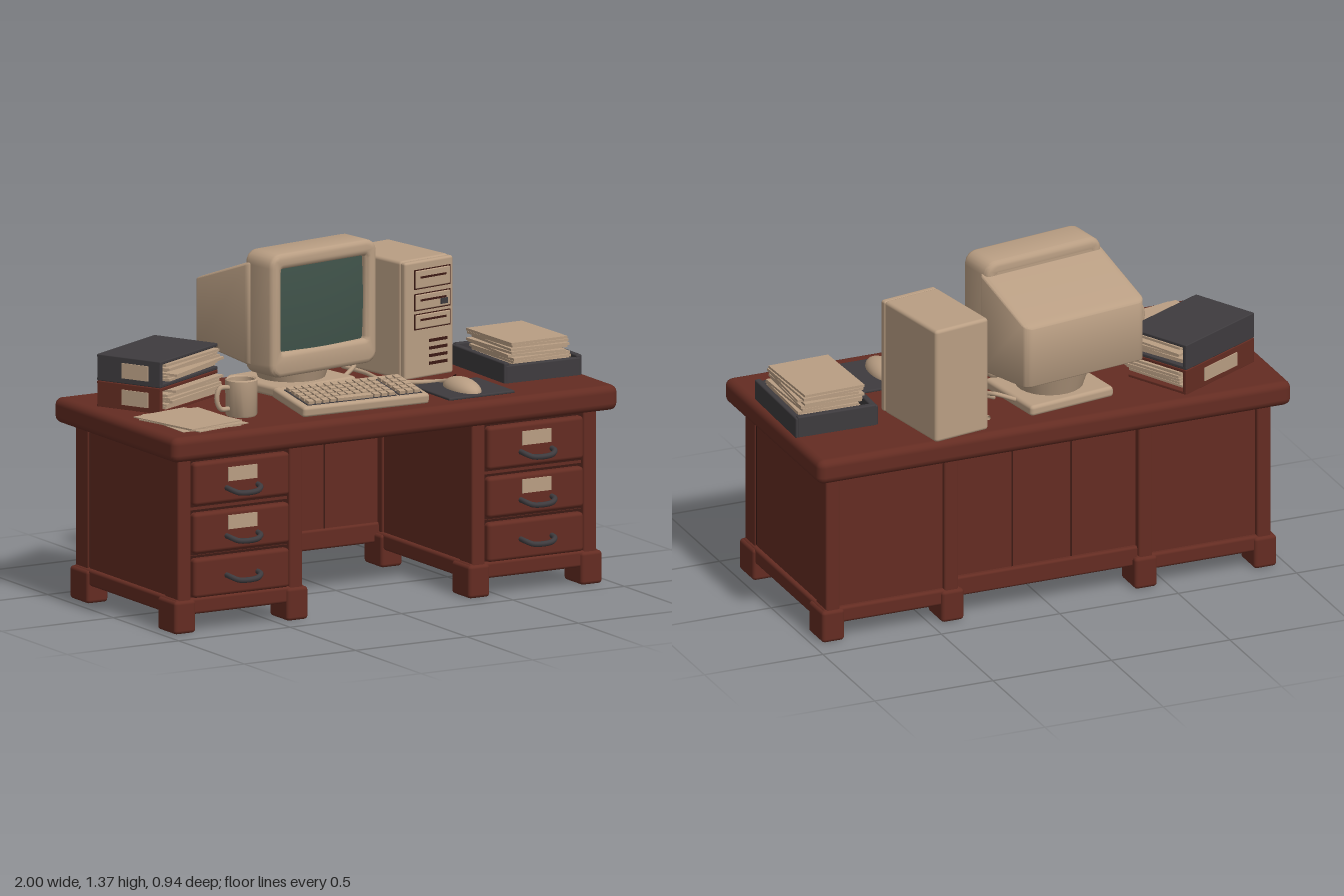
import * as THREE from 'three';
import { toCreasedNormals } from 'three/addons/utils/BufferGeometryUtils.js';
import { RoundedBoxGeometry } from 'three/addons/geometries/RoundedBoxGeometry.js';

const material = (name, color, side = THREE.FrontSide) => {
  const m = new THREE.MeshStandardMaterial({ color, side });
  m.name = name;
  return m;
};
const wood = material('red wood', 0x642c22);
const seam = material('dark wood seam', 0x3c1a14);
const cream = material('cream', 0xb99e83, THREE.DoubleSide);
const dark = material('charcoal', 0x3e3b3e);
const glass = material('screen green', 0x40534a);

let seed = 7;
const jitter = (a) => {
  seed = (seed * 16807) % 2147483647;
  return (seed / 2147483647 - 0.5) * 2 * a;
};

function mesh(parent, name, geo, mat, x = 0, y = 0, z = 0) {
  const m = new THREE.Mesh(geo, mat);
  m.name = name;
  m.position.set(x, y, z);
  parent.add(m);
  return m;
}
// Box given by its centre in x and z, and by its bottom in y
function box(parent, name, mat, w, h, d, x, y, z, r = 0) {
  const geo = r ? new RoundedBoxGeometry(w, h, d, 2, r) : new THREE.BoxGeometry(w, h, d);
  return mesh(parent, name, geo, mat, x, y + h / 2, z);
}
function group(parent, name, x, y, z, turn = 0) {
  const g = new THREE.Group();
  g.name = name;
  g.position.set(x, y, z);
  g.rotation.y = turn;
  parent.add(g);
  return g;
}
function tube(parent, name, mat, points, r, n = 24) {
  const curve = new THREE.CatmullRomCurve3(points.map((p) => new THREE.Vector3(...p)));
  return mesh(parent, name, new THREE.TubeGeometry(curve, n, r, 8), mat);
}
function paperStack(parent, w, d, x, y, z, count, thick, spread, turn) {
  for (let i = 0; i < count; i++) {
    const p = box(parent, 'paper', cream, w, thick * 0.8, d, x + jitter(spread), y + i * thick, z + jitter(spread));
    p.rotation.set(jitter(0.012), jitter(turn), jitter(0.012));
  }
}
function roundedRect(Type, w, h, r) {
  const s = new Type();
  const x = w / 2, y = h / 2;
  s.moveTo(-x + r, -y).lineTo(x - r, -y).quadraticCurveTo(x, -y, x, -y + r)
    .lineTo(x, y - r).quadraticCurveTo(x, y, x - r, y)
    .lineTo(-x + r, y).quadraticCurveTo(-x, y, -x, y - r)
    .lineTo(-x, -y + r).quadraticCurveTo(-x, -y, -x + r, -y);
  return s;
}

function buildDesk(root) {
  const desk = group(root, 'desk', 0, 0, 0);
  box(desk, 'deskTop', wood, 2, 0.1, 0.925, 0, 0.69, 0, 0.03);
  for (const s of [-1, 1]) {
    const ped = group(desk, 'pedestal', s * 0.66, 0, 0);
    box(ped, 'cabinet', wood, 0.545, 0.61, 0.75, 0, 0.09, 0);
    box(ped, 'plinth', wood, 0.58, 0.065, 0.79, 0, 0.07, 0, 0.012);
    // Corner posts and stepped feet
    for (const px of [-1, 1]) for (const pz of [-1, 1]) {
      box(ped, 'cornerPost', wood, 0.06, 0.58, 0.1, px * 0.25, 0.12, pz * 0.343, 0.008);
      box(ped, 'foot', wood, 0.095, 0.13, 0.14, px * 0.252, 0, pz * 0.335, 0.014);
    }
    for (const z of [-0.29, 0.29]) box(ped, 'sideSeam', seam, 0.004, 0.55, 0.006, s * 0.273, 0.14, z);
    // Drawers with handles and label plates
    [[0.5, 0.17, 0.055], [0.31, 0.16, 0.055], [0.135, 0.155, 0.075]].forEach(([y, h, hy], i) => {
      box(ped, 'drawerGap', seam, 0.45, h + 0.018, 0.006, 0, y - 0.009, 0.374);
      box(ped, 'drawer', wood, 0.43, h, 0.05, 0, y, 0.382, 0.015);
      const yh = y + hy;
      tube(ped, 'drawerHandle', dark, [[-0.07, yh + 0.005, 0.4], [-0.064, yh, 0.44], [-0.04, yh - 0.01, 0.455],
        [0.04, yh - 0.01, 0.455], [0.064, yh, 0.44], [0.07, yh + 0.005, 0.4]], 0.011);
      if (i < 2) box(ped, 'drawerLabel', cream, 0.13, 0.055, 0.006, 0, y + 0.085, 0.408);
    });
  }
  // Back panel closing the knee space
  box(desk, 'backPanel', wood, 0.8, 0.56, 0.03, 0, 0.14, -0.345);
  box(desk, 'backRail', wood, 0.78, 0.08, 0.06, 0, 0.09, -0.35, 0.01);
  for (const x of [-0.11, 0.14]) box(desk, 'backSeam', seam, 0.006, 0.52, 0.034, x, 0.17, -0.345);
}

function buildMonitor(root) {
  const mon = group(root, 'monitor', -0.08, 0, -0.055, 0.155);
  // Front frame with an opening for the screen
  const frame = roundedRect(THREE.Shape, 0.49, 0.45, 0.035);
  const hole = roundedRect(THREE.Path, 0.46, 0.37, 0.03);
  hole.curves.forEach((c) => ['v0', 'v1', 'v2'].forEach((k) => c[k] && (c[k].y += 0.018)));
  frame.holes.push(hole);
  const frameGeo = new THREE.ExtrudeGeometry(frame, {
    depth: 0.13, bevelThickness: 0.02, bevelSize: 0.02, bevelSegments: 3, curveSegments: 6,
  });
  mesh(mon, 'bezel', toCreasedNormals(frameGeo, 0.6), cream, 0, 1.125, -0.065);
  box(mon, 'bezelBack', cream, 0.5, 0.46, 0.08, 0, 0.895, -0.045, 0.02);
  // Bulging glass
  const g = new THREE.PlaneGeometry(0.46, 0.37, 12, 10);
  const p = g.attributes.position;
  for (let i = 0; i < p.count; i++) p.setZ(i, 0.03 - 0.35 * p.getX(i) ** 2 - 0.25 * p.getY(i) ** 2);
  g.computeVertexNormals();
  mesh(mon, 'screen', g, glass, 0, 1.143, 0.046);
  // Tapering rear housing
  const shell = new RoundedBoxGeometry(0.55, 1, 0.35, 4, 0.035);
  const q = shell.attributes.position;
  for (let i = 0; i < q.count; i++) {
    const t = (0.175 - q.getZ(i)) / 0.35;
    const bottom = 0.91 + 0.045 * t, top = 1.335 - 0.125 * t;
    q.setY(i, bottom + (q.getY(i) + 0.5) * (top - bottom));
  }
  mesh(mon, 'rearHousing', toCreasedNormals(shell, 0.7), cream, 0, 0, -0.21);
  // Swivel stand
  box(mon, 'standBase', cream, 0.38, 0.045, 0.34, 0, 0.785, -0.12, 0.015);
  mesh(mon, 'standNeck', new THREE.CylinderGeometry(0.16, 0.13, 0.09, 24), cream, 0, 0.87, -0.12);
}

function buildTower(root) {
  const t = group(root, 'computerTower', 0.415, 0.785, -0.245, 0.17);
  box(t, 'towerCase', cream, 0.245, 0.47, 0.365, 0, 0, -0.01, 0.014);
  box(t, 'towerFront', cream, 0.245, 0.465, 0.03, 0, 0.002, 0.182, 0.01);
  for (const [y, h] of [[0.36, 0.07], [0.275, 0.06], [0.2, 0.055]]) {
    box(t, 'bayGap', seam, 0.182, h + 0.008, 0.004, 0.015, y - 0.004, 0.197);
    box(t, 'driveBay', cream, 0.174, h, 0.01, 0.015, y, 0.198, 0.004);
    box(t, 'driveSlot', seam, 0.13, 0.008, 0.004, 0.015, y + h * 0.55, 0.203);
  }
  box(t, 'powerButton', dark, 0.035, 0.022, 0.008, 0.07, 0.285, 0.203);
  for (let i = 0; i < 4; i++) box(t, 'vent', seam, 0.09, 0.012, 0.004, 0.045, 0.05 + i * 0.03, 0.197);
}

function buildKeyboard(root) {
  const k = group(root, 'keyboard', -0.08, 0.825, 0.25, -0.02);
  k.rotation.x = 0.14;
  box(k, 'keyboardCase', cream, 0.56, 0.042, 0.255, 0, -0.021, 0, 0.012);
  // Key blocks: left edge, columns
  for (const [x0, cols] of [[-0.25, 12], [0.155, 3]]) {
    const w = cols * 0.0325;
    box(k, 'keyBed', dark, w + 0.006, 0.006, 0.19, x0 + w / 2, 0.017, 0.012);
    for (let r = 0; r < 5; r++) for (let c = 0; c < cols; c++) {
      const space = r === 4 && cols === 12;
      if (space && c > 3 && c < 9) continue;
      box(k, 'key', cream, 0.025, 0.016, 0.028, x0 + (c + 0.5) * 0.0325, 0.019, -0.064 + r * 0.038);
    }
  }
  box(k, 'spaceBar', cream, 0.155, 0.016, 0.028, -0.25 + 6.5 * 0.0325, 0.019, 0.088);
}

function buildMouse(root) {
  box(root, 'mousePad', dark, 0.295, 0.012, 0.29, 0.43, 0.788, 0.24, 0.005);
  const m = group(root, 'mouse', 0.42, 0.797, 0.25, -0.04);
  const body = mesh(m, 'mouseBody', new THREE.SphereGeometry(1, 20, 10, 0, Math.PI * 2, 0, Math.PI / 2), cream);
  body.scale.set(0.057, 0.047, 0.12);
  box(m, 'buttonGap', seam, 0.004, 0.004, 0.05, 0, 0.034, -0.075).rotation.x = -0.5;
  tube(root, 'mouseCord', cream, [[0.42, 0.81, 0.14], [0.4, 0.8, 0.09], [0.3, 0.797, 0.03], [0.24, 0.797, -0.08],
    [0.25, 0.797, -0.2], [0.23, 0.8, -0.34]], 0.009, 36);
  tube(root, 'monitorCable', cream, [[0.1, 0.84, -0.3], [0.18, 0.87, -0.28], [0.2, 0.84, -0.2], [0.13, 0.8, -0.16]], 0.009);
}

function buildPaperTray(root) {
  const t = group(root, 'paperTray', 0.805, 0.785, 0.01, -0.02);
  box(t, 'trayFloor', dark, 0.33, 0.02, 0.42, 0, 0, 0);
  for (const s of [-1, 1]) {
    box(t, 'traySide', dark, 0.025, 0.085, 0.42, s * 0.16, 0, 0, 0.006);
    box(t, 'trayEnd', dark, 0.33, s > 0 ? 0.075 : 0.09, 0.025, 0, 0, s * 0.2, 0.006);
  }
  paperStack(t, 0.255, 0.33, 0, 0.025, 0.01, 11, 0.012, 0.012, 0.06);
}

function buildBinders(root) {
  const b = group(root, 'binders', -0.69, 0.787, -0.19, 0.48);
  // Each binder: two covers, a spine and the pages between them
  for (const [mat, y, h, dx, name] of [[wood, 0, 0.105, 0, 'lowerBinder'], [dark, 0.105, 0.105, 0, 'upperBinder']]) {
    const g = group(b, name, dx, y, 0);
    box(g, 'cover', mat, 0.42, 0.014, 0.29, 0, 0, 0, 0.004);
    box(g, 'cover', mat, 0.42, 0.014, 0.29, 0, h - 0.014, 0, 0.004);
    box(g, 'spine', mat, 0.42, h, 0.018, 0, 0, -0.136, 0.005);
    box(g, 'endPanel', mat, 0.018, h, 0.29, -0.201, 0, 0, 0.005);
    box(g, 'spineLabel', cream, 0.006, 0.06, 0.12, -0.211, 0.022, 0.03);
    if (mat === wood) box(g, 'backLabel', cream, 0.2, 0.055, 0.006, 0, 0.025, -0.146);
    paperStack(g, 0.37, 0.27, 0.015, 0.018, 0.025, 6, 0.012, 0.018, 0.06);
  }
}

function buildMug(root) {
  const m = group(root, 'mug', -0.545, 0.787, 0.205, 0.1);
  const profile = [[0, 0], [0.055, 0], [0.062, 0.01], [0.063, 0.145], [0.058, 0.15], [0.052, 0.145], [0.052, 0.02], [0, 0.02]];
  const geo = new THREE.LatheGeometry(profile.map((v) => new THREE.Vector2(...v)), 28);
  mesh(m, 'mugBody', toCreasedNormals(geo, 0.7), cream);
  mesh(m, 'drink', new THREE.CircleGeometry(0.052, 24), wood, 0, 0.06, 0).rotation.x = -Math.PI / 2;
  tube(m, 'mugHandle', cream, [[-0.058, 0.12, 0], [-0.105, 0.12, 0], [-0.118, 0.08, 0], [-0.1, 0.04, 0], [-0.058, 0.035, 0]], 0.01);
}

export function createModel() {
  const root = new THREE.Group();
  root.name = 'officeDesk';
  buildDesk(root);
  buildMonitor(root);
  buildTower(root);
  buildKeyboard(root);
  buildMouse(root);
  buildPaperTray(root);
  buildBinders(root);
  buildMug(root);
  const loose = group(root, 'loosePapers', -0.785, 0.789, 0.22, 0.12);
  paperStack(loose, 0.26, 0.34, 0, 0, 0, 4, 0.005, 0.02, 0.14);
  return root;
}
